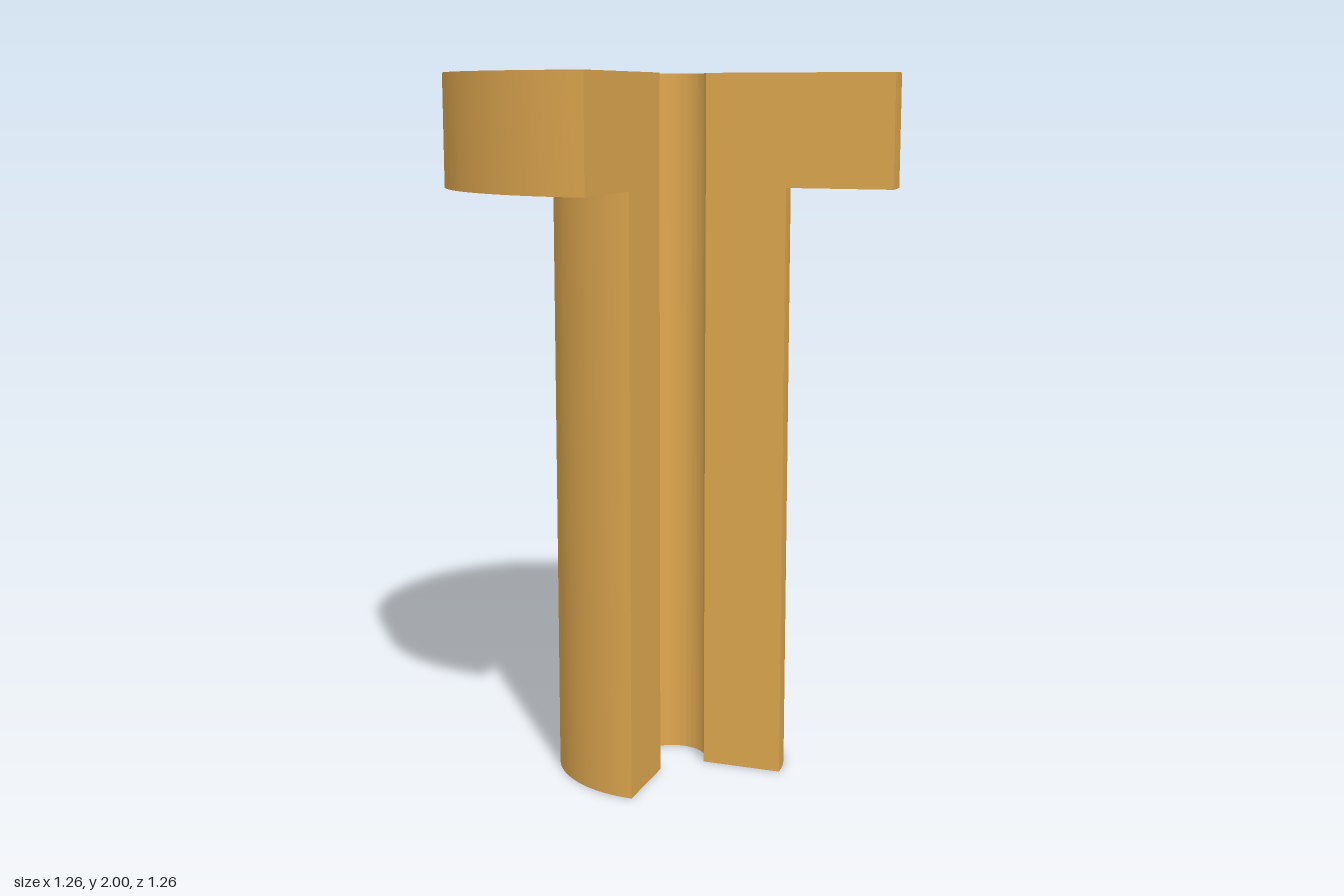
import * as THREE from 'three';
import { toCreasedNormals } from 'three/addons/utils/BufferGeometryUtils.js';

const BORE = 0.1, SHANK = 0.332, HEAD = 0.632, STEP = 1.69, TOP = 2;

// Closed half section of the flanged bushing, counter-clockwise
const section = [
  [BORE, 0], [SHANK, 0], [SHANK, STEP], [HEAD, STEP], [HEAD, TOP], [BORE, TOP],
].map(([r, y]) => new THREE.Vector2(r, y));

export function createModel() {
  const group = new THREE.Group();
  group.name = 'cutawayFlangedBushing';
  const material = new THREE.MeshStandardMaterial({ color: 0xe0a850 });

  const add = (name, geometry) => {
    const mesh = new THREE.Mesh(geometry, material);
    mesh.name = name;
    group.add(mesh);
    return mesh;
  };

  // Three-quarter revolved body: shank, flange and bore, open at +x +z
  const lathe = new THREE.LatheGeometry([...section, section[0]], 72, Math.PI / 2, Math.PI * 1.5);
  add('revolvedBody', toCreasedNormals(lathe, Math.PI / 6));

  // Flat cut faces closing the two ends of the sweep
  add('cutFaceFront', new THREE.ShapeGeometry(new THREE.Shape(section)));
  const mirrored = section.map((p) => new THREE.Vector2(-p.x, p.y));
  add('cutFaceLeft', new THREE.ShapeGeometry(new THREE.Shape(mirrored))).rotation.y = Math.PI / 2;

  return group;
}
